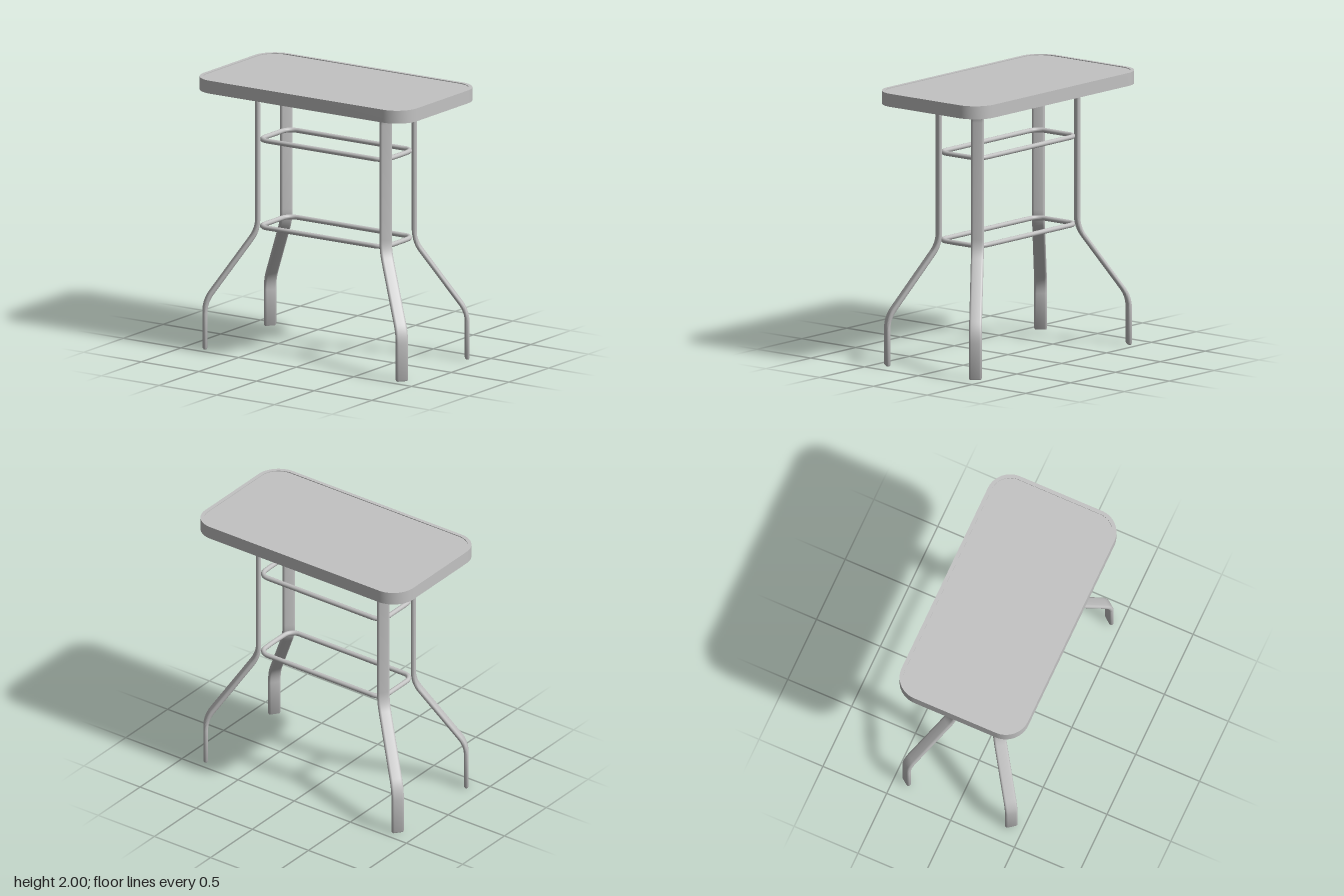
import * as THREE from 'three';
import { toCreasedNormals } from 'three/addons/utils/BufferGeometryUtils.js';

// Rounded rectangle given by half sizes and corner radius
function roundedRect(hx, hy, r, PathType = THREE.Shape) {
  const p = new PathType();
  p.moveTo(hx, -hy + r);
  p.absarc(hx - r, hy - r, r, 0, Math.PI / 2);
  p.absarc(-hx + r, hy - r, r, Math.PI / 2, Math.PI);
  p.absarc(-hx + r, -hy + r, r, Math.PI, Math.PI * 1.5);
  p.absarc(hx - r, -hy + r, r, Math.PI * 1.5, Math.PI * 2);
  return p;
}

// Horizontal plate from a shape, standing on height y
function plate(shape, y, depth) {
  const g = new THREE.ExtrudeGeometry(shape, { depth, bevelEnabled: false, curveSegments: 12 });
  g.rotateX(-Math.PI / 2);
  g.translate(0, y, 0);
  return toCreasedNormals(g, 0.6);
}

// Flat-oval tube swept along a path lying in the x-y plane; wide side along z
function sweepOval(points, width, thickness) {
  const r = thickness / 2, half = width / 2 - r, n = 8;
  const section = [];
  for (let side = 0; side < 2; side++) {
    for (let i = 0; i <= n; i++) {
      const a = Math.PI * (side + i / n);
      section.push([r * Math.cos(a), r * Math.sin(a) + (side ? -half : half)]);
    }
  }
  const rings = points.map((p, i) => {
    const t = points[Math.min(i + 1, points.length - 1)].clone()
      .sub(points[Math.max(i - 1, 0)]).normalize();
    return { p, t, inset: 0 };
  });
  // Softened ends, closed to a line at the middle
  const first = rings[0], last = rings[rings.length - 1];
  const b = 0.01;
  const cap = (e, s) => [b * 0.6, r].map((inset, i) => ({
    p: e.p.clone().addScaledVector(e.t, s * b), t: e.t, inset,
  }));
  const all = [...cap(first, -1).reverse(), ...rings, ...cap(last, 1)];

  const pos = [], idx = [], m = section.length;
  for (const { p, t, inset } of all) {
    const k = 1 - inset / r;
    for (const [u, v] of section) {
      const c = Math.sign(v) * half;
      const w = Math.abs(v) < half ? v : c + (v - c) * k;
      pos.push(p.x + t.y * u * k, p.y - t.x * u * k, w);
    }
  }
  for (let i = 0; i < all.length - 1; i++) {
    for (let j = 0; j < m; j++) {
      const a = i * m + j, c = i * m + (j + 1) % m;
      idx.push(a, a + m, c, c, a + m, c + m);
    }
  }
  // End faces bridge the two straight sides
  const e = (all.length - 1) * m;
  for (let j = 1; j < m - 1; j++) {
    idx.push(0, j, j + 1);
    idx.push(e, e + j + 1, e + j);
  }
  const g = new THREE.BufferGeometry();
  g.setAttribute('position', new THREE.Float32BufferAttribute(pos, 3));
  // Make sure the faces look outward
  let volume = 0;
  const A = new THREE.Vector3(), B = new THREE.Vector3(), C = new THREE.Vector3();
  for (let i = 0; i < idx.length; i += 3) {
    A.fromArray(pos, idx[i] * 3);
    B.fromArray(pos, idx[i + 1] * 3);
    C.fromArray(pos, idx[i + 2] * 3);
    volume += A.dot(B.cross(C));
  }
  if (volume < 0) idx.reverse();
  g.setIndex(idx);
  return toCreasedNormals(g, 0.7);
}

// Leg centre line: foot, splayed run, upright, then bent out under the top
function legPath() {
  const corners = [[0, 0.01], [0, 0.345], [-0.378, 0.87], [-0.378, 1.94], [0.005, 1.94]]
    .map(([x, y]) => new THREE.Vector2(x + 0.378, y));
  const cut = [0, 0.08, 0.08, 0.14, 0];
  const out = [corners[0]];
  for (let i = 1; i < corners.length - 1; i++) {
    const c = corners[i];
    const from = c.clone().add(corners[i - 1].clone().sub(c).setLength(cut[i]));
    const to = c.clone().add(corners[i + 1].clone().sub(c).setLength(cut[i]));
    if (i === 3) {
      for (let k = 0; k <= 10; k++) {
        const a = Math.PI - (k / 10) * Math.PI / 2;
        out.push(new THREE.Vector2(from.x + 0.14 + 0.14 * Math.cos(a), from.y + 0.14 * Math.sin(a)));
      }
    } else {
      out.push(...new THREE.QuadraticBezierCurve(from, c, to).getPoints(8));
    }
  }
  out.push(corners[corners.length - 1]);
  return out;
}

export function createModel() {
  const table = new THREE.Group();
  table.name = 'table';
  const metal = new THREE.MeshStandardMaterial({ color: 0xc2c2c2 });
  metal.name = 'grey';
  const add = (name, geometry) => {
    const mesh = new THREE.Mesh(geometry, metal);
    mesh.name = name;
    table.add(mesh);
    return mesh;
  };

  // Rim and inset panel
  const rim = roundedRect(0.925, 0.495, 0.175);
  rim.holes.push(roundedRect(0.897, 0.467, 0.147, THREE.Path));
  add('tableRim', plate(rim, 1.905, 0.095));
  add('tablePanel', plate(roundedRect(0.897, 0.467, 0.147), 1.965, 0.03));

  // Four legs turned toward the corners
  const legGeometry = sweepOval(legPath(), 0.092, 0.034);
  for (const [sx, sz, name] of [[1, 1, 'frontLeftLeg'], [-1, 1, 'frontRightLeg'],
    [1, -1, 'backLeftLeg'], [-1, -1, 'backRightLeg']]) {
    const leg = add(name, legGeometry);
    leg.position.set(0.555 * sx, 0, 0.18 * sz);
    leg.rotation.y = -Math.atan2(0.23 * sz, 0.3 * sx);
  }

  // Two bracing rings between the legs
  const outline = roundedRect(0.545, 0.19, 0.08).getSpacedPoints(120).slice(0, -1);
  const ringCurve = new THREE.CatmullRomCurve3(
    outline.map((p) => new THREE.Vector3(p.x, 0, p.y)), true);
  const ringGeometry = new THREE.TubeGeometry(ringCurve, 160, 0.018, 12, true);
  add('upperBraceRing', ringGeometry).position.y = 1.535;
  add('lowerBraceRing', ringGeometry).position.y = 0.895;

  return table;
}
